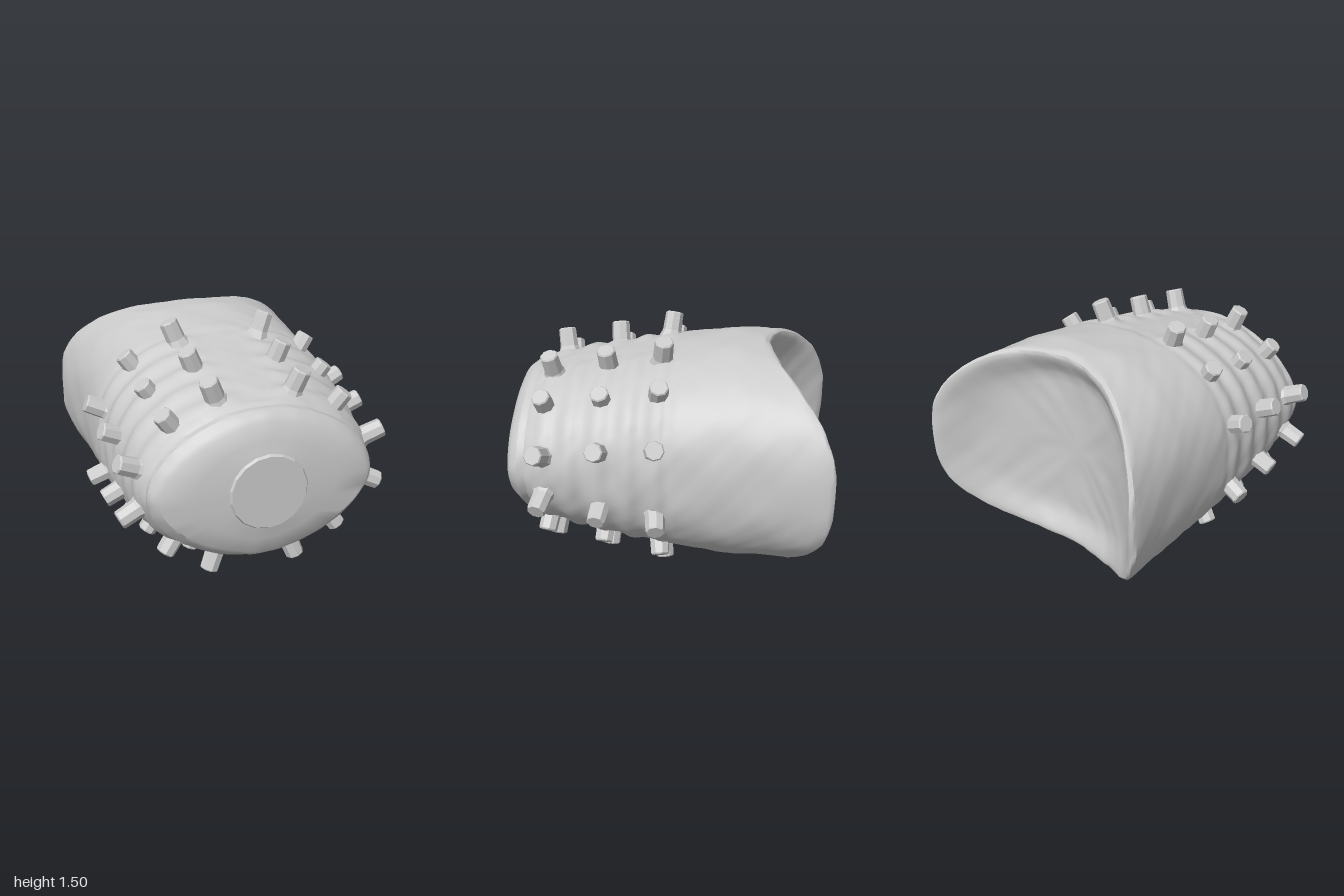
import * as THREE from 'three';
import { toCreasedNormals } from 'three/addons/utils/BufferGeometryUtils.js';

const CY = 0.755; // height of the body axis
const SEG = 88;

// body stations: z, half width, half height, roundness exponent
const STATIONS = [
  [0.985, 0.23, 0.23, 2], [0.967, 0.42, 0.31, 1.8], [0.945, 0.625, 0.41, 1.7], [0.92, 0.655, 0.44, 1.7],
  [0.88, 0.675, 0.465, 1.85], [0.7, 0.715, 0.515, 2.05], [0.4, 0.745, 0.57, 2.25], [0.05, 0.77, 0.625, 2.35],
  [-0.1, 0.78, 0.64, 2.4], [-0.42, 0.79, 0.675, 2.45], [-0.6, 0.805, 0.665, 2.45], [-0.9, 0.84, 0.66, 2.5], [-1.02, 0.85, 0.66, 2.5],
];

function stationAt(z) {
  let i = 0;
  while (i < STATIONS.length - 2 && z < STATIONS[i + 1][0]) i++;
  const a = STATIONS[i], b = STATIONS[i + 1];
  const t = THREE.MathUtils.clamp((z - a[0]) / (b[0] - a[0]), 0, 1);
  return a.map((v, k) => v + (b[k] - v) * t);
}

// saddle-shaped rear edge
const rimZ = (x) => -0.6 - 0.4 * Math.abs(x / 0.83) ** 1.9;

// hand-modelled unevenness
const wobble = (x, y, z) => 0.005 * (Math.sin(16 * x + 2) * Math.sin(15 * y + 1) * Math.sin(14 * z)
  + 0.7 * Math.sin(37 * x + 1) * Math.sin(33 * y) * Math.sin(41 * z + 2));

function section(z, angle) {
  const [, hx, hy, n] = stationAt(z);
  const c = Math.cos(angle), s = Math.sin(angle);
  return [hx * Math.sign(c) * Math.abs(c) ** (2 / n), hy * Math.sign(s) * Math.abs(s) ** (2 / n)];
}

// ribbed side bands, recessed tapering centre strips and the groove behind the front lip
function relief(x, z) {
  if (z > 0.9) return 0;
  const lip = -0.015 * Math.exp(-(((z - 0.84) / 0.02) ** 2));
  const inBand = THREE.MathUtils.smoothstep(z, -0.06, 0) * (1 - THREE.MathUtils.smoothstep(z, 0.77, 0.82));
  const edge = 0.19 - 0.07 * z;
  const side = THREE.MathUtils.smoothstep(Math.abs(x), edge - 0.02, edge + 0.02);
  const ribs = 0.01 * Math.cos((z - 0.04) * Math.PI * 2 / 0.175);
  return lip + inBand * (side * ribs - (1 - side) * 0.012);
}

function bodyGeometry() {
  const pos = [], index = [];
  const rows = [];
  const rimAt = (a) => Math.max(rimZ(section(-0.9, a)[0]), -0.99);
  // front face and lip
  for (const z of [0.985, 0.967, 0.945, 0.92, 0.9]) rows.push(() => z);
  // ribbed middle
  for (let i = 1; i <= 46; i++) rows.push(() => 0.9 - i / 46);
  // plain rear sleeve stretched to the saddle edge
  for (let i = 1; i <= 16; i++) rows.push((a) => -0.1 + (rimAt(a) + 0.14) * (i / 16));

  const add = (x, y, z) => pos.push(x, CY + y, z);
  for (const row of rows) {
    for (let j = 0; j < SEG; j++) {
      const a = (j / SEG) * Math.PI * 2;
      const z = row(a);
      const [x, y] = section(z, a);
      const k = 1 + (relief(x, z) + wobble(x, y, z)) / Math.hypot(x, y);
      add(x * k, y * k, z);
    }
  }
  // soft rounded rim blending into the shallow saddle of the back
  const back = [0.99, 0.975, 0.95, 0.92, 0.89, 0.85, 0.8, 0.74, 0.66, 0.56, 0.45, 0.3, 0.15, 0.002];
  for (const s of back) {
    for (let j = 0; j < SEG; j++) {
      const a = (j / SEG) * Math.PI * 2;
      const edge = rimAt(a);
      const [ex, ey] = section(edge, a);
      const x = ex * s, y = ey * s;
      const round = 0.025 * THREE.MathUtils.smoothstep(s, 0.95, 1) ** 2;
      const dish = 0.07 * (1 - THREE.MathUtils.smoothstep(s, 0.7, 0.97));
      const saddle = Math.max(rimZ(x), -0.6 - (-0.6 - edge) * Math.min(1, s + 0.04));
      add(x, y, saddle + round + dish + wobble(x, y, 0.3));
    }
  }
  const count = rows.length + back.length;
  for (let i = 0; i < count - 1; i++) {
    for (let j = 0; j < SEG; j++) {
      const a = i * SEG + j, b = i * SEG + (j + 1) % SEG;
      index.push(a, a + SEG, b + SEG, a, b + SEG, b);
    }
  }
  const g = new THREE.BufferGeometry();
  g.setAttribute('position', new THREE.Float32BufferAttribute(pos, 3));
  g.setIndex(index);
  return toCreasedNormals(g, 0.6);
}

export function createModel() {
  const model = new THREE.Group();
  model.name = 'studdedSleeve';
  const smooth = new THREE.MeshStandardMaterial({ color: 0xcccccc });
  const faceted = new THREE.MeshStandardMaterial({ color: 0xcccccc, flatShading: true });

  const body = new THREE.Mesh(bodyGeometry(), smooth);
  body.name = 'body';
  model.add(body);

  // round plate on the front face
  const plate = new THREE.Mesh(new THREE.CylinderGeometry(0.225, 0.25, 0.04, 18), faceted);
  plate.name = 'frontPlate';
  plate.rotation.x = Math.PI / 2;
  plate.position.set(0, CY, 0.98);
  model.add(plate);

  // pegs with a flared root; the tip is at the local origin
  const pegGeometry = new THREE.LatheGeometry(
    [[0.12, -0.25], [0.08, -0.17], [0.06, -0.12], [0.057, -0.008], [0.05, 0], [0, 0]].map(([r, y]) => new THREE.Vector2(r, y)), 8);
  const rings = [
    { z: 0.03, lean: -0.12, tips: [[0.315, 0.73], [0.6, 0.55], [0.845, 0.26]] },
    { z: 0.385, lean: 0.08, tips: [[0.3, 0.66], [0.575, 0.49], [0.825, 0.225]] },
    { z: 0.74, lean: 0.15, tips: [[0.28, 0.61], [0.55, 0.445], [0.81, 0.18]] },
  ];
  const directions = [[0.37, 0.93], [0.58, 0.81], [0.91, 0.41]];
  const up = new THREE.Vector3(0, 1, 0);
  const pegs = new THREE.Group();
  pegs.name = 'pegs';
  for (const { z, lean, tips } of rings) {
    tips.forEach(([x, y], i) => {
      for (const sx of [1, -1]) {
        for (const sy of [1, -1]) {
          const peg = new THREE.Mesh(pegGeometry, faceted);
          peg.name = 'peg';
          peg.position.set(sx * x, CY + sy * y, z);
          const dir = new THREE.Vector3(sx * directions[i][0], sy * directions[i][1], lean).normalize();
          peg.quaternion.setFromUnitVectors(up, dir);
          pegs.add(peg);
        }
      }
    });
  }
  model.add(pegs);
  return model;
}
